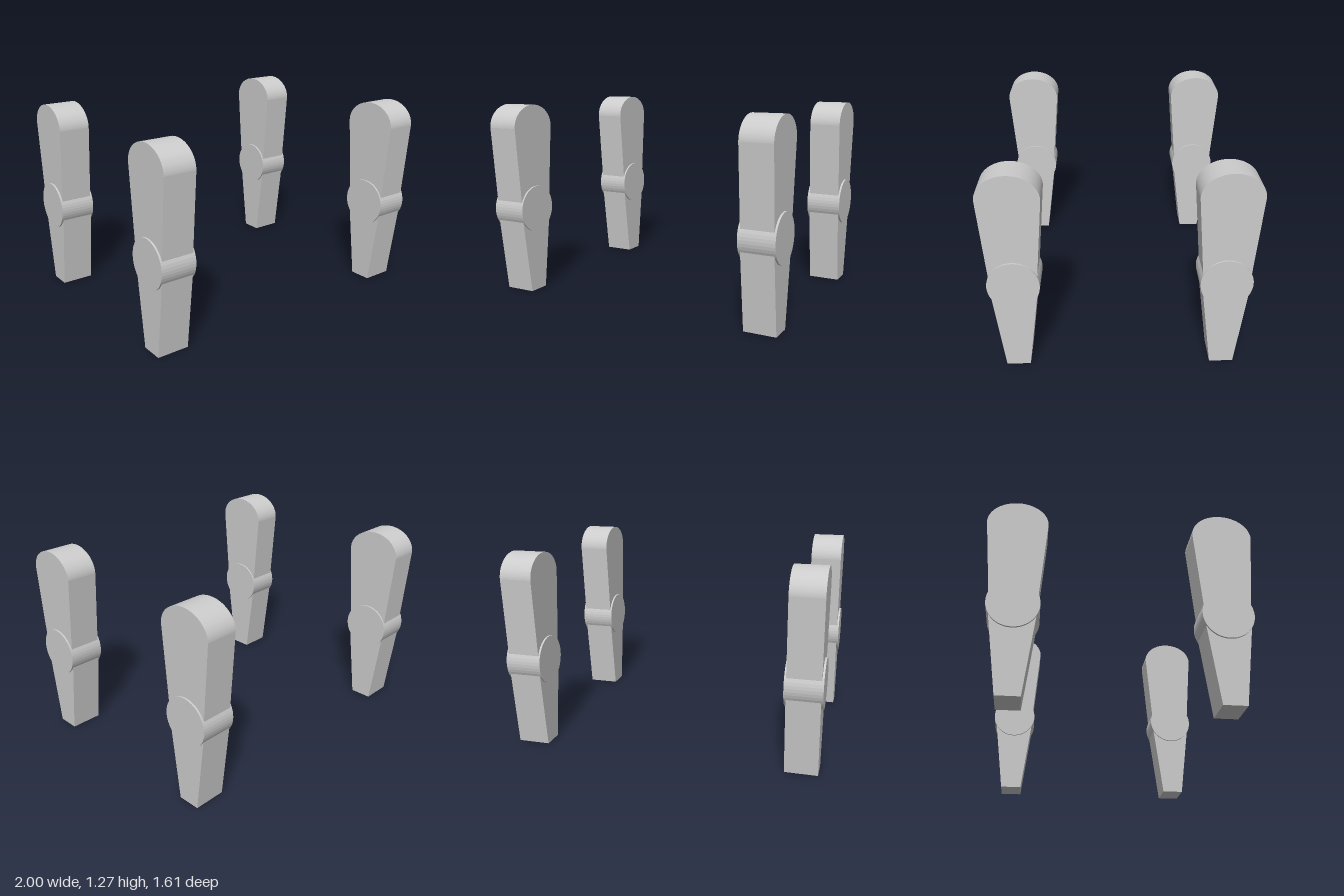
import * as THREE from 'three';

const material = new THREE.MeshStandardMaterial({ color: 0xcccccc, flatShading: true });
const LEG_WIDTH = 0.206, KNEE_WIDTH = 0.23, KNEE_Y = 0.567, KNEE_RADIUS = 0.155;

// Extrudes a side profile (z across, y up) along x, centred on x = 0
function slab(shape, name) {
  const geometry = new THREE.ExtrudeGeometry(shape, { depth: LEG_WIDTH, bevelEnabled: false, curveSegments: 24 });
  geometry.translate(0, 0, -LEG_WIDTH / 2).rotateY(Math.PI / 2);
  const mesh = new THREE.Mesh(geometry, material);
  mesh.name = name;
  return mesh;
}

function createLeg(name) {
  const leg = new THREE.Group();
  leg.name = name;

  // Thigh: widens upward to a flattened round top
  const thigh = new THREE.Shape();
  thigh.moveTo(-0.137, KNEE_Y);
  thigh.lineTo(0.137, KNEE_Y);
  thigh.lineTo(0.183, 1.12);
  thigh.absellipse(0, 1.12, 0.183, 0.147, 0, Math.PI, false, 0);
  thigh.closePath();
  leg.add(slab(thigh, 'thigh'));

  // Shin: tapers down to a flat foot
  const shin = new THREE.Shape();
  shin.moveTo(-0.072, 0);
  shin.lineTo(0.072, 0);
  shin.lineTo(0.145, KNEE_Y);
  shin.lineTo(-0.145, KNEE_Y);
  shin.closePath();
  leg.add(slab(shin, 'shin'));

  // Knee: round hinge standing slightly proud of both sides
  const knee = new THREE.Mesh(
    new THREE.CylinderGeometry(KNEE_RADIUS, KNEE_RADIUS, KNEE_WIDTH, 48).rotateZ(Math.PI / 2), material);
  knee.position.y = KNEE_Y;
  knee.name = 'knee';
  leg.add(knee);
  return leg;
}

export function createModel() {
  const model = new THREE.Group();
  model.name = 'legs';
  for (const [side, x] of [['Left', 0.885], ['Right', -0.885]]) {
    for (const [end, z] of [['front', 0.622], ['back', -0.622]]) {
      const leg = createLeg(`${end}${side}Leg`);
      leg.position.set(x, 0, z);
      model.add(leg);
    }
  }
  return model;
}
